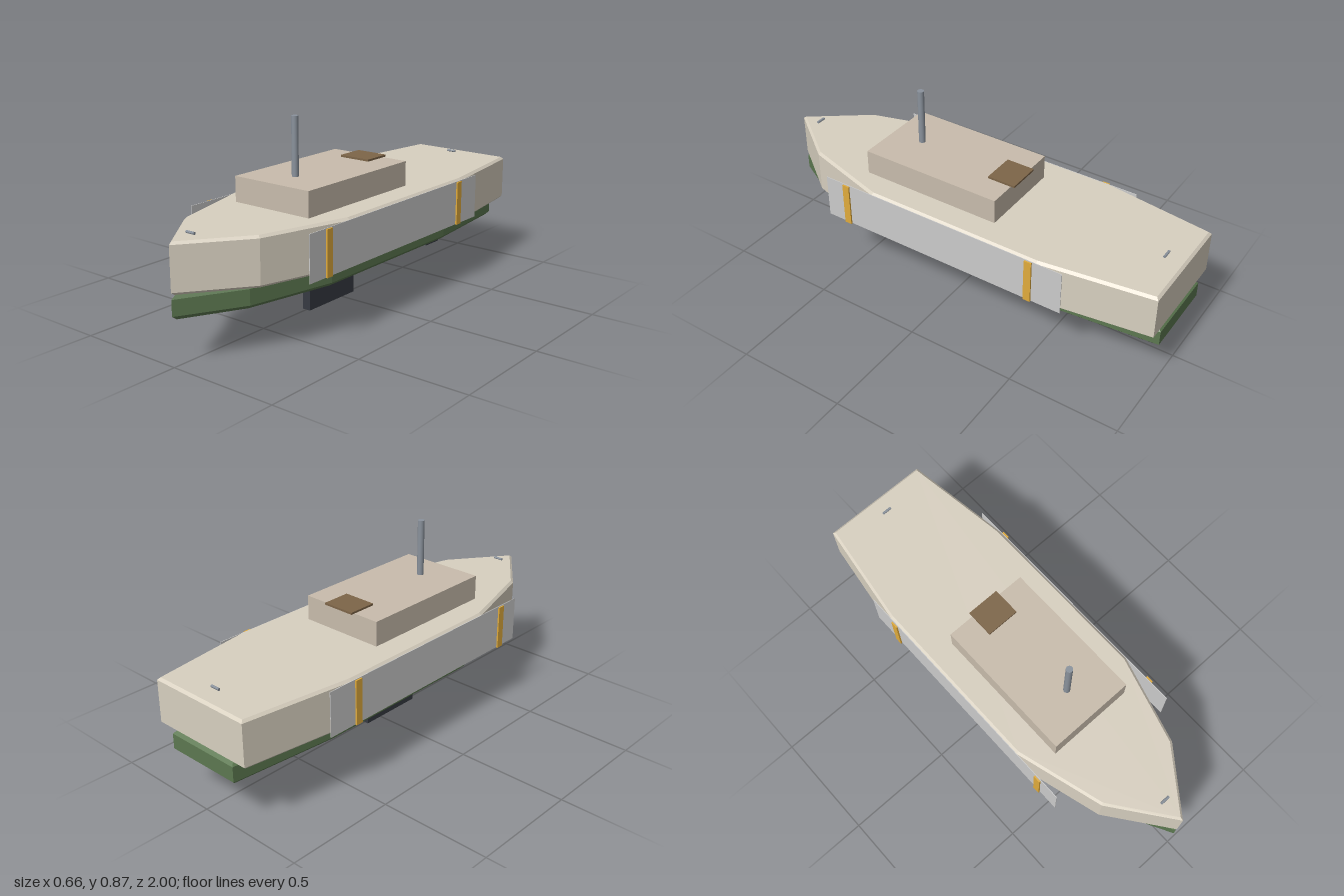
import * as THREE from 'three';

const paint = (color) => new THREE.MeshStandardMaterial({ color, flatShading: true });

// Half outline from stern to bow: [half width, z]
const OUTLINE = [[0.25, -1], [0.32, -0.5], [0.32, 0.33], [0.205, 0.73], [0, 1]];

// Bevelled slab following the deck plan, between two heights
function hullSlab(widthScale, bottom, top, bevel) {
  const right = OUTLINE.map(([x, z]) => new THREE.Vector2(x * widthScale, z));
  const left = OUTLINE.slice(0, -1).reverse().map(([x, z]) => new THREE.Vector2(-x * widthScale, z));
  const geometry = new THREE.ExtrudeGeometry(new THREE.Shape([...right, ...left]), {
    depth: top - bottom - 2 * bevel,
    bevelThickness: bevel, bevelSize: bevel, bevelOffset: -bevel, bevelSegments: 1,
  });
  geometry.rotateX(Math.PI / 2);
  geometry.translate(0, top - bevel, 0);
  return geometry;
}

export function createModel() {
  const model = new THREE.Group();
  model.name = 'boat';

  const add = (name, geometry, material, x = 0, y = 0, z = 0) => {
    const mesh = new THREE.Mesh(geometry, material);
    mesh.name = name;
    mesh.position.set(x, y, z);
    model.add(mesh);
    return mesh;
  };
  // Box given by its limits on each axis
  const addBox = (name, material, [x0, x1], [y0, y1], [z0, z1]) =>
    add(name, new THREE.BoxGeometry(x1 - x0, y1 - y0, z1 - z0), material,
      (x0 + x1) / 2, (y0 + y1) / 2, (z0 + z1) / 2);

  const cream = paint(0xd8d0c0);
  const cabinPaint = paint(0xc8bcac);
  const green = paint(0x5c7850);
  const dark = paint(0x363a42);
  const brass = paint(0xe0ab3c);
  const wood = paint(0x7d6548);
  const steel = paint(0x8a929c);
  const grey = paint(0xcccccc);

  // Hull
  add('upperHull', hullSlab(1, 0.29, 0.5, 0.011), cream);
  add('lowerHull', hullSlab(0.72, 0.19, 0.29, 0.016), green);

  // Underwater fins
  addBox('keel', dark, [-0.02, 0.02], [0, 0.2], [-0.085, 0.225]);
  addBox('rudder', dark, [-0.016, 0.016], [0.07, 0.2], [-0.785, -0.68]);

  // Deck structures
  addBox('cabin', cabinPaint, [-0.2, 0.2], [0.495, 0.612], [-0.225, 0.44]);
  addBox('hatch', wood, [-0.077, 0.077], [0.612, 0.621], [-0.243, -0.112]);
  const mast = paint(0x8a929c);
  mast.flatShading = false;
  add('mast', new THREE.CylinderGeometry(0.015, 0.015, 0.26, 16), mast, 0, 0.739, 0.288);

  // Deck cleats at bow and stern
  for (const z of [0.89, -0.913]) {
    const cleat = add('cleat', new THREE.CylinderGeometry(0.006, 0.006, 0.044, 8), steel, 0, 0.512, z);
    cleat.rotation.z = Math.PI / 2;
  }

  // Side panels and their vertical brass straps
  for (const side of [1, -1]) {
    const span = (a, b) => (side > 0 ? [a, b] : [-b, -a]);
    addBox('sidePanel', grey, span(0.32, 0.323), [0.29, 0.492], [-0.62, 0.58]);
    for (const z of [0.467, -0.467]) {
      addBox('strap', brass, span(0.325, 0.332), [0.29, 0.49], [z - 0.017, z + 0.017]);
    }
  }
  return model;
}
